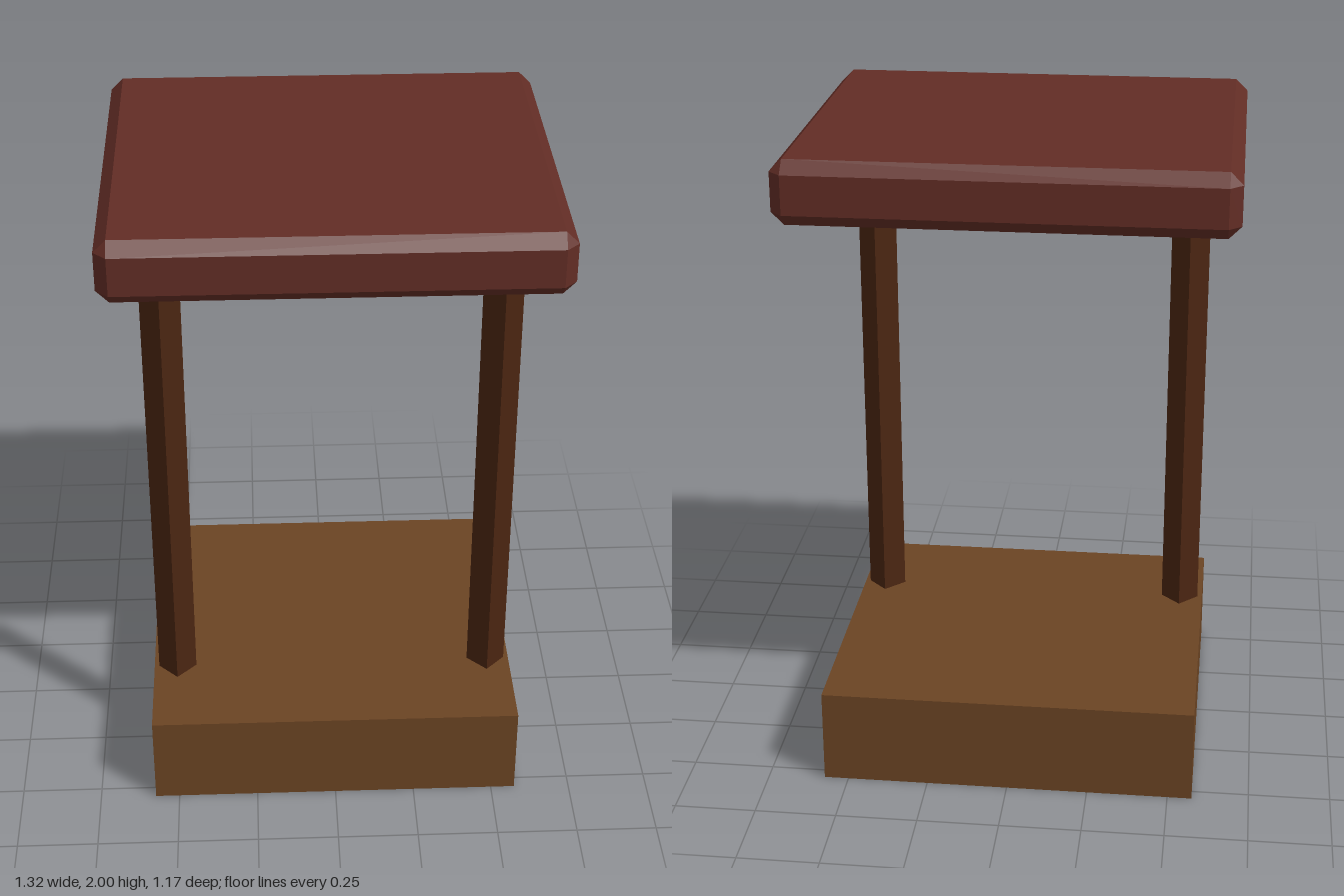
import * as THREE from 'three';
import { ConvexGeometry } from 'three/addons/geometries/ConvexGeometry.js';

// Box with every edge and corner cut by a flat chamfer
function chamferBox(w, h, d, c) {
  const points = [];
  for (const sx of [-1, 1]) for (const sy of [-1, 1]) for (const sz of [-1, 1]) {
    const [x, y, z] = [w / 2, h / 2, d / 2];
    points.push(
      new THREE.Vector3(sx * x, sy * (y - c), sz * (z - c)),
      new THREE.Vector3(sx * (x - c), sy * y, sz * (z - c)),
      new THREE.Vector3(sx * (x - c), sy * (y - c), sz * z),
    );
  }
  return new ConvexGeometry(points);
}

export function createModel() {
  const group = new THREE.Group();
  const material = (name, color) => {
    const m = new THREE.MeshStandardMaterial({ color, flatShading: true });
    m.name = name;
    return m;
  };
  const baseWood = material('base brown', 0x6b4423);
  const postWood = material('dark post brown', 0x4a2511);
  const roofRed = material('roof red brown', 0x622d25);

  const add = (name, geometry, mat, x, y, z) => {
    const mesh = new THREE.Mesh(geometry, mat);
    mesh.name = name;
    mesh.position.set(x, y, z);
    group.add(mesh);
  };

  // Solid block base
  add('base', new THREE.BoxGeometry(1.15, 0.295, 1.08), baseWood, 0, 0.1475, 0);

  // Two four-sided posts, edge facing forward, set toward the front
  const postGeometry = new THREE.CylinderGeometry(0.06, 0.06, 1.49, 4);
  for (const side of [-1, 1]) {
    add(side > 0 ? 'leftPost' : 'rightPost', postGeometry, postWood, side * 0.5, 1.04, 0.245);
  }

  // Chamfered roof slab floating just above the posts
  add('roof', chamferBox(1.315, 0.19, 1.17, 0.037), roofRed, 0, 1.905, 0);

  return group;
}
